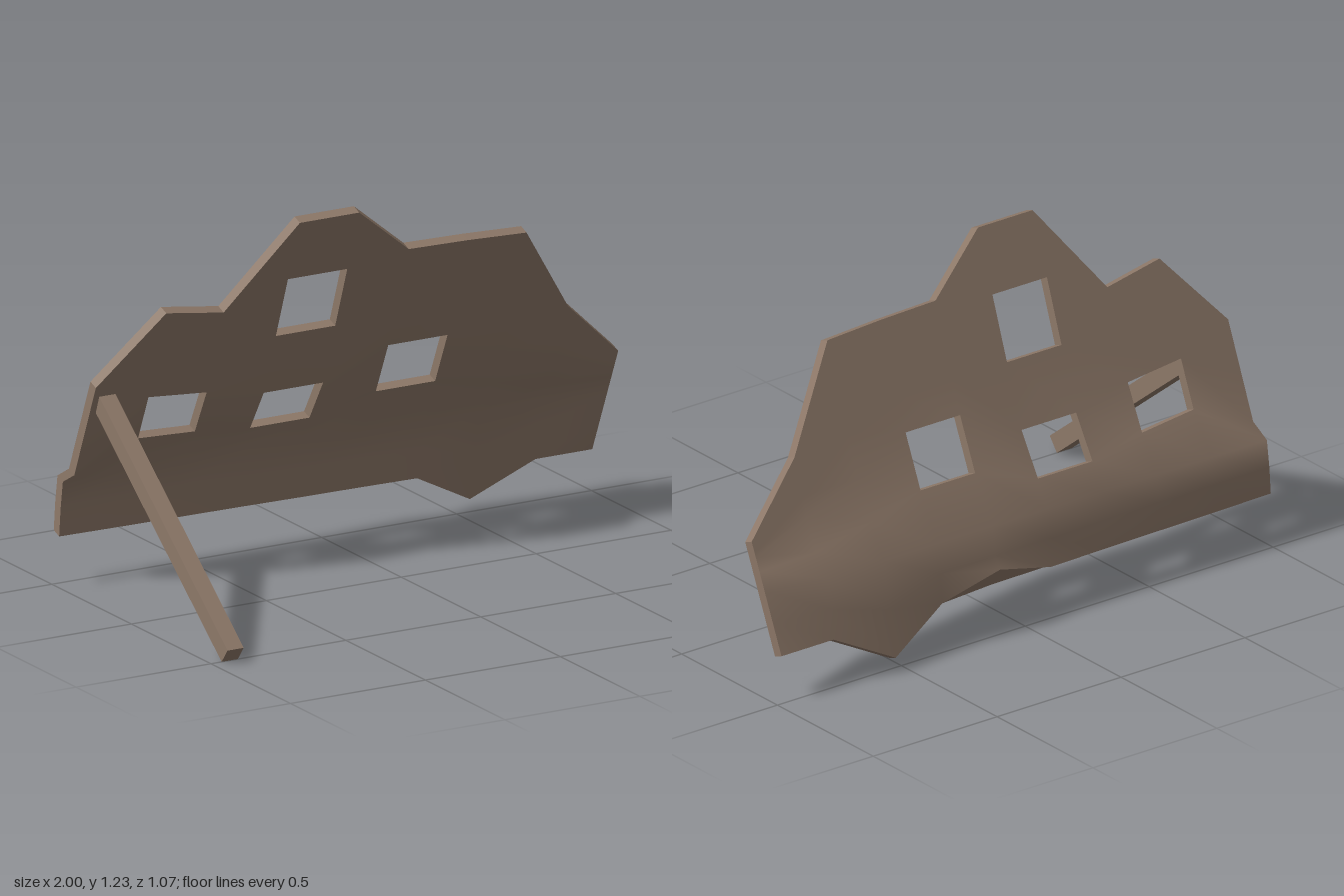
import * as THREE from 'three';

// Wall columns, left to right: x, bottom, hole sill, hole head, top, sag at row 2, sag at row 3
const COLUMNS = [
  [-0.98, 0.175, 0.40, 0.56, 0.72, 0.055, 0.0],
  [-0.77, 0.172, 0.495, 0.65, 0.96, 0.055, 0.01],
  [-0.55, 0.17, 0.48, 0.63, 0.925, 0.055, 0.02],
  [-0.33, 0.168, 0.45, 0.59, 1.218, 0.05, 0.035],
  [-0.11, 0.165, 0.45, 0.59, 1.218, 0.05, 0.035],
  [0.11, 0.163, 0.515, 0.69, 1.045, 0.05, 0.015],
  [0.33, 0.16, 0.515, 0.69, 1.04, 0.05, 0.015],
  [0.55, 0.045, 0.47, 0.60, 1.03, 0.05, 0.02],
  [0.77, 0.155, 0.43, 0.54, 0.72, 0.05, 0.01],
  [0.99, 0.155, 0.42, 0.465, 0.515, 0, 0],
];
const ROWS = 8;
const HOLES = ['1,3', '3,3', '3,5', '5,3']; // window cells as column,row
const SLOPE = 0.362; // forward lean of the wall
const THICK = new THREE.Vector3(0, 0.0125, -0.034);

function frontPoint(c, r) {
  const [x, bottom, sill, head, top, sag2, sag3] = COLUMNS[c];
  const tall = c === 3 || c === 4;
  const ys = [
    bottom, (bottom + 0.36) / 2, 0.36, sill, head,
    tall ? 0.8 : head + (top - head) / 3,
    tall ? 1.01 : head + (top - head) * 2 / 3,
    top,
  ];
  const sag = [0, sag2 * 0.55, sag2, sag3, 0, 0, 0, 0][r];
  const y = ys[r];
  // the two ends splay slightly with height
  let px = x;
  if (c === 0) px += 0.036 * (y - 0.72);
  if (c === COLUMNS.length - 1) px += 0.054 * (y - 0.335);
  return new THREE.Vector3(px, y, -0.077 - SLOPE * (1.218 - y) - sag);
}

function backPoint(c, r) {
  const p = frontPoint(c, r).add(THICK);
  if (c === 5 && r === 0) p.add(new THREE.Vector3(0, 0.06, -0.018)); // chipped lower edge
  return p;
}

const solid = (c, r) =>
  c >= 0 && r >= 0 && c < COLUMNS.length - 1 && r < ROWS - 1 && !HOLES.includes(`${c},${r}`);

function geometryFrom(points, index) {
  const g = new THREE.BufferGeometry().setFromPoints(points);
  if (index) g.setIndex(index);
  g.computeVertexNormals();
  return g;
}

// One smooth face of the wall with window openings
function sheet(pointAt, flip) {
  const points = [], index = [];
  for (let c = 0; c < COLUMNS.length; c++)
    for (let r = 0; r < ROWS; r++) points.push(pointAt(c, r));
  for (let c = 0; c < COLUMNS.length - 1; c++) {
    for (let r = 0; r < ROWS - 1; r++) {
      if (!solid(c, r)) continue;
      const a = c * ROWS + r, b = a + ROWS, d = a + 1, e = b + 1;
      if (flip) index.push(a, e, b, a, d, e);
      else index.push(a, b, e, a, e, d);
    }
  }
  return geometryFrom(points, index);
}

// Thickness around the outline and inside the windows
function rim() {
  const points = [];
  const edge = (c0, r0, c1, r1) => {
    const fp = frontPoint(c0, r0), fq = frontPoint(c1, r1);
    const bp = backPoint(c0, r0), bq = backPoint(c1, r1);
    points.push(fp, bp, bq, fp, bq, fq);
  };
  for (let c = 0; c < COLUMNS.length - 1; c++) {
    for (let r = 0; r < ROWS - 1; r++) {
      if (!solid(c, r)) continue;
      if (!solid(c, r - 1)) edge(c, r, c + 1, r);
      if (!solid(c + 1, r)) edge(c + 1, r, c + 1, r + 1);
      if (!solid(c, r + 1)) edge(c + 1, r + 1, c, r + 1);
      if (!solid(c - 1, r)) edge(c, r + 1, c, r);
    }
  }
  return geometryFrom(points);
}

export function createModel() {
  const model = new THREE.Group();
  model.name = 'leaningWallRuin';
  const brown = new THREE.MeshStandardMaterial({ color: 0x8d7868 });
  brown.name = 'weatheredBrown';

  const add = (name, geometry, parent) => {
    const mesh = new THREE.Mesh(geometry, brown);
    mesh.name = name;
    parent.add(mesh);
    return mesh;
  };

  // Leaning wall slab
  const wall = new THREE.Group();
  wall.name = 'wall';
  model.add(wall);
  add('wallFront', sheet(frontPoint, false), wall);
  add('wallBack', sheet(backPoint, true), wall);
  add('wallEdges', rim(), wall);

  // Diagonal prop from the ground to the wall
  const foot = new THREE.Vector3(-0.93, 0.027, 0.518);
  const head = new THREE.Vector3(-0.93, 0.662, -0.29);
  const prop = add('propBeam', new THREE.BoxGeometry(0.06, 0.06, foot.distanceTo(head)), model);
  prop.position.copy(foot).add(head).multiplyScalar(0.5);
  prop.rotation.x = Math.atan2(head.y - foot.y, foot.z - head.z);

  return model;
}
